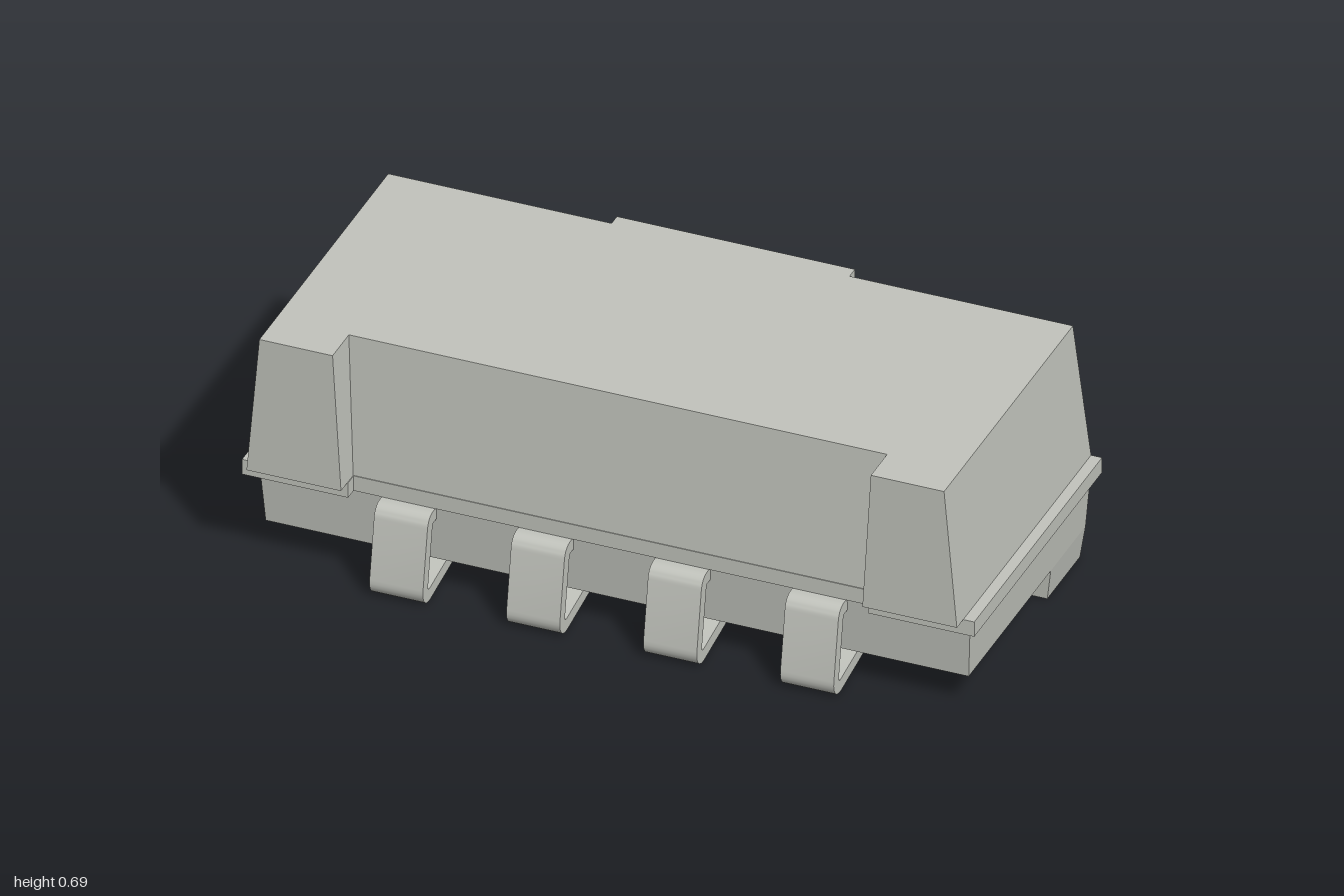
import * as THREE from 'three';
import { toCreasedNormals } from 'three/addons/utils/BufferGeometryUtils.js';

// Closed prism between two matching outlines of [x, z] points, counterclockwise from above
function loft(y0, lower, y1, upper) {
  const pos = [];
  const n = lower.length;
  const low = i => [lower[i % n][0], y0, lower[i % n][1]];
  const up = i => [upper[i % n][0], y1, upper[i % n][1]];
  const tri = (a, b, c) => pos.push(...a, ...b, ...c);
  for (let i = 0; i < n; i++) {
    tri(low(i), low(i + 1), up(i + 1));
    tri(low(i), up(i + 1), up(i));
  }
  const faces = o => THREE.ShapeUtils.triangulateShape(o.map(([x, z]) => new THREE.Vector2(x, -z)), []);
  for (const [a, b, c] of faces(upper)) tri(up(a), up(b), up(c));
  for (const [a, b, c] of faces(lower)) tri(low(c), low(b), low(a));
  const g = new THREE.BufferGeometry();
  g.setAttribute('position', new THREE.Float32BufferAttribute(pos, 3));
  g.computeVertexNormals();
  return g;
}

// Completes a right half outline (front to back) with its mirror image
const mirror = half => [...half, ...half.map(([x, z]) => [-x, z]).reverse()];

// Front notch, side wall, and back wall with a straight central panel
const housing = (notchX, notchZ, front, side, back) => mirror([
  [notchX, notchZ], [notchX, front], [side, front], [side, back], [0.325, back], [0.325, -0.44],
]);

// Bent spring contact, profile drawn as (z, y)
function contactGeometry(width) {
  const s = new THREE.Shape();
  s.moveTo(0.34, 0.252);
  s.lineTo(0.375, 0.252);
  s.bezierCurveTo(0.395, 0.252, 0.41, 0.238, 0.413, 0.218);
  s.lineTo(0.442, 0.052);
  s.bezierCurveTo(0.448, 0.02, 0.425, -0.004, 0.393, 0.001);
  s.lineTo(0.091, 0.055);
  s.lineTo(0.097, 0.09);
  s.lineTo(0.398, 0.036);
  s.quadraticCurveTo(0.411, 0.035, 0.409, 0.047);
  s.lineTo(0.38, 0.208);
  s.quadraticCurveTo(0.379, 0.217, 0.371, 0.217);
  s.lineTo(0.34, 0.217);
  const g = new THREE.ExtrudeGeometry(s, { depth: width, bevelEnabled: false, curveSegments: 8 });
  g.translate(0, 0, -width / 2);
  g.rotateY(-Math.PI / 2);
  return toCreasedNormals(g, 0.6);
}

export function createModel() {
  const model = new THREE.Group();
  model.name = 'connector';
  const grey = new THREE.MeshStandardMaterial({ color: 0xc1c3bc });
  grey.name = 'light grey';
  const add = (name, geometry) => {
    const mesh = new THREE.Mesh(geometry, grey);
    mesh.name = name;
    model.add(mesh);
    return mesh;
  };

  // Upper housing with front notch and tapered walls
  add('upperHousing', loft(
    0.297, housing(0.712, 0.362, 0.442, 0.97, -0.44),
    0.695, housing(0.735, 0.335, 0.442, 0.935, -0.405)));

  // Thin flange around the middle
  const flange = mirror([[0.71, 0.364], [0.71, 0.4], [1, 0.4], [1, -0.44]]);
  add('flange', loft(0.253, flange, 0.297, flange));

  // Lower housing, narrowing downward
  const base = (side, front, back) => mirror([[side, front], [side, back], [0.325, back], [0.325, -0.44]]);
  add('lowerHousing', loft(0.09, base(0.96, 0.34, -0.428), 0.253, base(0.97, 0.355, -0.44)));

  // Feet at the two back corners
  for (const side of [1, -1]) {
    const foot = (inner, outer, front, back) => {
      const [a, b] = side > 0 ? [inner, outer] : [-outer, -inner];
      return [[a, front], [b, front], [b, back], [a, back]];
    };
    add(side > 0 ? 'leftFoot' : 'rightFoot', loft(
      0, foot(0.737, 0.948, -0.205, -0.42),
      0.09, foot(0.73, 0.96, -0.199, -0.428)));
  }

  // Row of four spring contacts
  const contact = contactGeometry(0.146);
  for (let i = 0; i < 4; i++) add('springContact' + (i + 1), contact).position.x = (i - 1.5) * 0.374;

  return model;
}
